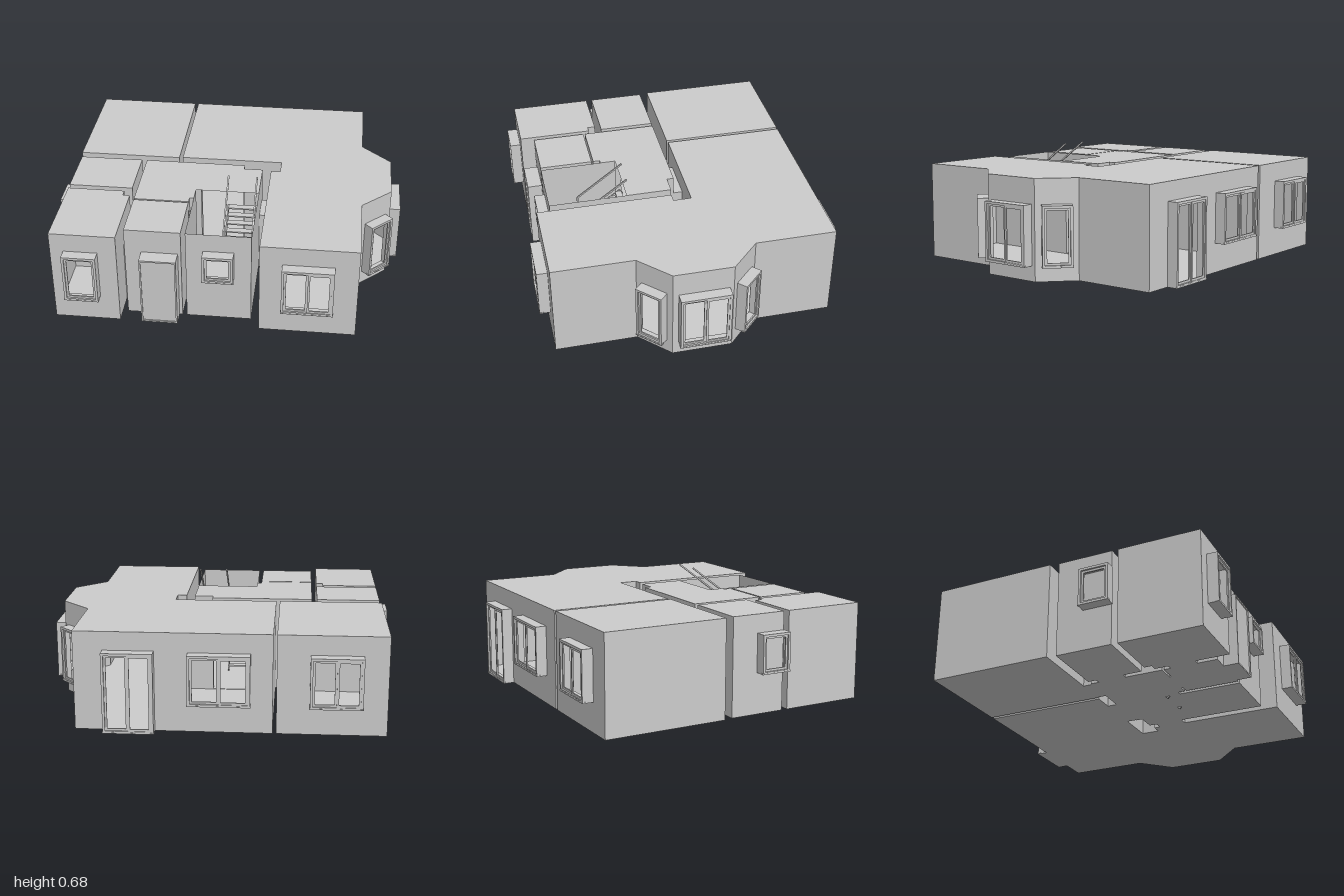
import * as THREE from 'three';

const H = 0.56;
const mat = new THREE.MeshStandardMaterial({ color: 0xcccccc, side: THREE.DoubleSide, flatShading: true });

function add(parent, name, geo, x = 0, y = 0, z = 0) {
  const m = new THREE.Mesh(geo, mat);
  m.name = name;
  m.position.set(x, y, z);
  parent.add(m);
  return m;
}

const box = (w, h, d) => new THREE.BoxGeometry(w, h, d);

function rect(path, x0, y0, x1, y1) {
  path.moveTo(x0, y0);
  path.lineTo(x1, y0);
  path.lineTo(x1, y1);
  path.lineTo(x0, y1);
  path.closePath();
  return path;
}

// Rectangular ring standing on y = 0, extruded along z
function ring(w, h, t, depth) {
  const s = rect(new THREE.Shape(), -w / 2, 0, w / 2, h);
  s.holes.push(rect(new THREE.Path(), -w / 2 + t, t, w / 2 - t, h - t));
  return new THREE.ExtrudeGeometry(s, { depth, bevelEnabled: false });
}

const Q = Math.PI / 4;

// Windows: wall position, outward angle, width, sill, head, panes
const windows = [
  ['frontLeftWindow', -0.76, 0.8, 0, 0.19, 0.16, 0.45, 1],
  ['stairWindow', -0.007, 0.72, 0, 0.172, 0.28, 0.45, 1],
  ['frontRightWindow', 0.492, 0.8, 0, 0.285, 0.165, 0.45, 2],
  ['sideWindow', -0.93, 0.208, -2 * Q, 0.175, 0.235, 0.455, 1],
  ['backBedroomWindow', -0.662, -0.8, 4 * Q, 0.285, 0.165, 0.45, 2],
  ['backLivingWindow', -0.03, -0.8, 4 * Q, 0.34, 0.165, 0.45, 2],
  ['patioDoor', 0.463, -0.8, 4 * Q, 0.28, 0, 0.455, 2],
  ['bayCentreWindow', 0.935, -0.005, 2 * Q, 0.285, 0.085, 0.42, 2],
  ['bayFrontWindow', 0.85, 0.2525, Q, 0.165, 0.085, 0.42, 1],
  ['bayBackWindow', 0.85, -0.2525, 3 * Q, 0.165, 0.085, 0.42, 1],
];

// Passages: centre x, centre z, runs along x?, length, width, height
const passages = [
  [-0.432, -0.06, false, 0.05, 0.175, 0.375],
  [-0.072, -0.0625, false, 0.055, 0.265, 0.45],
  [0.2, 0.133, true, 0.05, 0.165, 0.375],
  [-0.545, 0.098, true, 0.03, 0.165, 0.375],
  [-0.545, 0.528, true, 0.03, 0.155, 0.375],
  [-0.347, 0.405, false, 0.01, 0.165, 0.375],
];

// Wall openings: x, z, width, bottom, top
const openings = [
  ...windows.map(([, x, z, , w, y0, y1]) => [x, z, w, y0, y1]),
  ...passages.flatMap(([x, z, alongX, len, w, h]) => [-len / 2, len / 2].map(
    (o) => [x + (alongX ? o : 0), z + (alongX ? 0 : o), w, 0, h])),
  [-0.335, 0.72, 0.205, 0, 0.42],
];

// Room plans as x, z corners; open lists edges without a wall
const rooms = [
  { name: 'backLeftRoom', pts: [[-0.94, -0.8], [-0.34, -0.8], [-0.34, -0.085], [-0.94, -0.085]] },
  { name: 'livingRoom', pts: [[-0.32, -0.8], [0.765, -0.8], [0.765, -0.335], [0.935, -0.17], [0.935, 0.17],
    [0.765, 0.335], [0.765, 0.8], [0.225, 0.8], [0.225, 0.015], [0.28, 0.015], [0.28, -0.09], [-0.32, -0.09]] },
  { name: 'bathroom', pts: [[-0.93, -0.035], [-0.56, -0.035], [-0.56, 0.29], [-0.93, 0.29]] },
  { name: 'frontLeftRoom', pts: [[-0.93, 0.325], [-0.6, 0.325], [-0.6, 0.37], [-0.56, 0.37], [-0.56, 0.8], [-0.93, 0.8]] },
  { name: 'hall', open: [4, 5], pts: [[-0.53, -0.035], [0.065, -0.035], [0.065, 0.005], [0.175, 0.005],
    [0.175, 0.27], [-0.19, 0.27], [-0.19, 0.36], [-0.215, 0.36], [-0.215, 0.4], [-0.53, 0.4]] },
  { name: 'entrance', pts: [[-0.53, 0.41], [-0.215, 0.41], [-0.215, 0.72], [-0.53, 0.72]] },
  { name: 'stairwell', open: [0], roofless: true, pts: [[-0.19, 0.27], [0.175, 0.27], [0.175, 0.72], [-0.19, 0.72]] },
];

function buildRoom({ name, pts, open = [], roofless }) {
  const g = new THREE.Group();
  g.name = name;
  const plan = new THREE.ShapeGeometry(new THREE.Shape(pts.map((p) => new THREE.Vector2(...p)))).rotateX(Math.PI / 2);
  add(g, 'floor', plan);
  if (!roofless) add(g, 'ceiling', plan, 0, H, 0);
  pts.forEach(([ax, az], i) => {
    if (open.includes(i)) return;
    const [bx, bz] = pts[(i + 1) % pts.length];
    const len = Math.hypot(bx - ax, bz - az);
    const dx = (bx - ax) / len, dz = (bz - az) / len;
    const shape = rect(new THREE.Shape(), 0, 0, len, H);
    // Cut every opening whose centre lies on this wall
    for (const [x, z, w, y0, y1] of openings) {
      const t = (x - ax) * dx + (z - az) * dz;
      const off = Math.abs((x - ax) * dz - (z - az) * dx);
      const half = w / 2 - 0.003;
      if (off < 0.004 && t > half && t < len - half) {
        shape.holes.push(rect(new THREE.Path(), t - half, y0 + 0.003, t + half, y1 - 0.003));
      }
    }
    add(g, 'wall', new THREE.ShapeGeometry(shape), ax, 0, az).rotation.y = Math.atan2(-dz, dx);
  });
  return g;
}

function buildWindow([name, x, z, angle, w, y0, y1, panes]) {
  const g = new THREE.Group();
  g.name = name;
  const h = y1 - y0, t = 0.014;
  add(g, 'reveal', ring(w, h, 0.003, 0.05));
  add(g, 'frame', ring(w, h, t, 0.018), 0, 0, 0.044);
  add(g, 'sill', box(w + 0.006, 0.008, 0.022), 0, 0.004, 0.052);
  // Sashes, staggered in depth
  const sw = (w - 2 * t) / panes;
  for (let i = 0; i < panes; i++) {
    add(g, 'sash', ring(sw, h - 2 * t, 0.012, 0.008), (i - (panes - 1) / 2) * sw, t, 0.044 + i * 0.006);
  }
  g.position.set(x, y0, z);
  g.rotation.y = angle;
  return g;
}

function buildStairs() {
  const g = new THREE.Group();
  g.name = 'stairs';
  const n = 7, z0 = 0.27, z1 = 0.54, mid = 0.27, run = (z1 - z0) / n;
  const pitch = Math.atan2(0.2, z1 - z0), slope = Math.hypot(0.2, z1 - z0);
  // Lower flight climbs to the front, upper flight returns to the back
  for (let i = 0; i < n; i++) {
    add(g, 'lowerTread', box(0.17, 0.008, run), -0.1, (i + 1) * mid / (n + 1), z0 + (i + 0.5) * run);
    add(g, 'upperTread', box(0.165, 0.008, run), 0.085, mid + (i + 1) * 0.2 / n, z1 - (i + 0.5) * run);
  }
  add(g, 'landing', box(0.355, 0.012, 0.175), -0.007, mid - 0.006, 0.63);
  for (const x of [0, 0.163]) {
    add(g, 'stringer', box(0.008, 0.035, slope), x, 0.37, 0.405).rotation.x = pitch;
    add(g, 'handrail', box(0.009, 0.009, slope), x, 0.564, 0.4).rotation.x = pitch;
    add(g, 'newelPost', box(0.009, 0.2, 0.009), x, 0.365, 0.535);
  }
  for (const x of [-0.184, -0.012]) {
    add(g, 'stringer', box(0.008, 0.035, Math.hypot(mid, z1 - z0)), x, 0.135, 0.405).rotation.x = -Q;
  }
  return g;
}

export function createModel() {
  const model = new THREE.Group();
  model.name = 'houseFloor';
  rooms.forEach((r) => model.add(buildRoom(r)));
  windows.forEach((w) => model.add(buildWindow(w)));

  // Short passages through the wall thickness
  for (const [x, z, alongX, len, w, h] of passages) {
    const geo = ring(w, h, 0.003, len).translate(0, 0, -len / 2);
    add(model, 'passage', geo, x, 0, z).rotation.y = alongX ? Math.PI / 2 : 0;
  }

  // Front door in its porch reveal
  const door = new THREE.Group();
  door.name = 'frontDoor';
  add(door, 'reveal', ring(0.205, 0.42, 0.003, 0.085));
  add(door, 'frame', ring(0.205, 0.42, 0.009, 0.02), 0, 0, 0.065);
  add(door, 'panel', box(0.19, 0.406, 0.012), 0, 0.21, 0.072);
  door.position.set(-0.335, 0, 0.72);
  model.add(door);

  model.add(buildStairs());
  return model;
}
